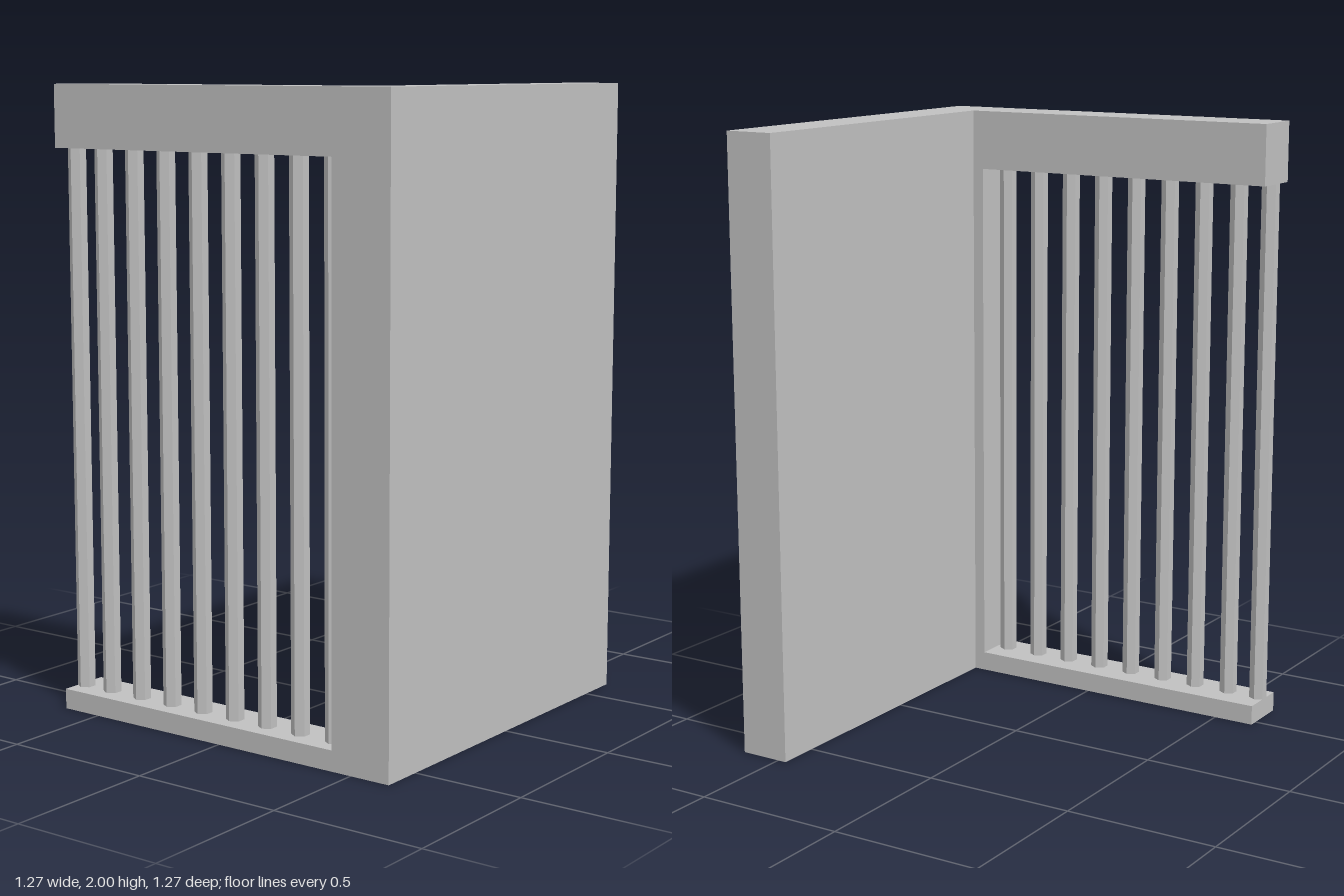
import * as THREE from 'three';

export function createModel() {
  const model = new THREE.Group();
  const grey = new THREE.MeshStandardMaterial({ color: 0xc0c0c0 });
  grey.name = 'plain grey';

  const H = 2, half = 0.637, inner = 0.47; // overall height, half width, inside faces of the corner
  const openX = 0.432, openBottom = 0.065, openTop = 1.803;

  function add(name, geometry, x, y, z) {
    const mesh = new THREE.Mesh(geometry, grey);
    mesh.name = name;
    mesh.position.set(x, y, z);
    model.add(mesh);
  }

  // Barred front: sill, corner post and lintel in one piece, open at the free end
  const frame = new THREE.Shape([
    [-half, 0], [half, 0], [half, H], [-half, H],
    [-half, openTop], [openX, openTop], [openX, openBottom], [-half, openBottom],
  ].map(([x, y]) => new THREE.Vector2(x, y)));
  add('windowFrame', new THREE.ExtrudeGeometry(frame, { depth: half - inner, bevelEnabled: false }), 0, 0, inner);

  // Solid side wall running back from the corner
  add('sideWall', new THREE.BoxGeometry(half - inner, H, half + inner), (half + inner) / 2, H / 2, (inner - half) / 2);

  // Hexagonal bars; the end one is pulled in flush with the frame's free end
  const radius = 0.029, pitch = 0.127;
  const barGeometry = new THREE.CylinderGeometry(radius, radius, openTop - openBottom, 6, 1, true).toNonIndexed();
  barGeometry.computeVertexNormals();
  for (let i = 0; i < 9; i++) {
    const x = i === 0 ? -0.612 : -0.5 + (i - 1) * pitch;
    add('bar' + (i + 1), barGeometry, x, (openTop + openBottom) / 2, 0.565);
  }
  return model;
}
